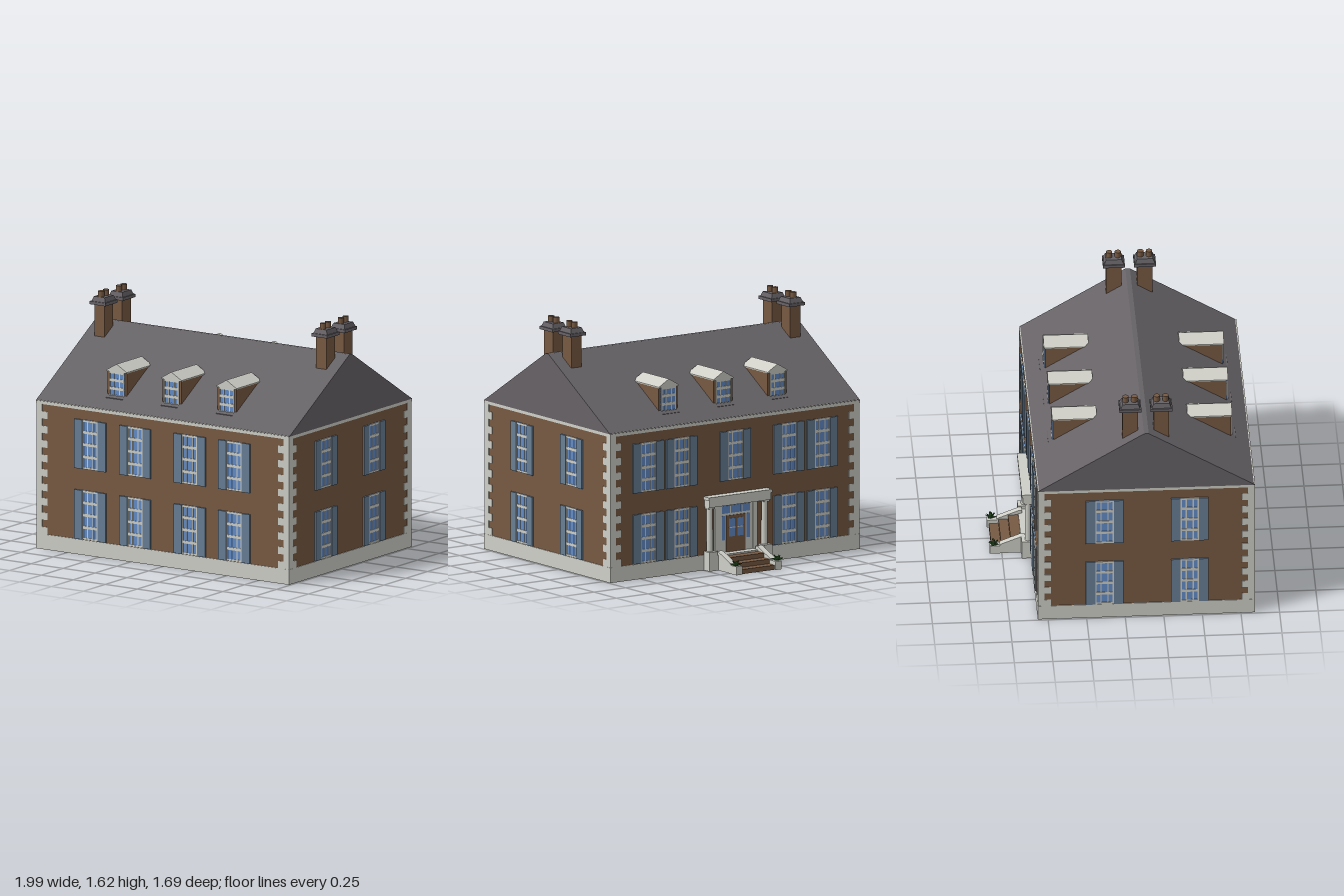
import * as THREE from 'three';

const material = (name, color) => Object.assign(new THREE.MeshStandardMaterial({ color }), { name });
const brick = material('brick', 0x775a43);
const stone = material('pale stone', 0xcfcfc8);
const slate = material('slate', 0x666266);
const shutterBlue = material('shutter blue', 0x687f95);
const glass = material('glass', 0x638cc6);
const leaf = material('leaf green', 0x2f5a28);

// House footprint
const HX = 0.985, HZ = 0.7, CZ = 0.1375;

function add(parent, name, geometry, mat, x = 0, y = 0, z = 0) {
  const mesh = new THREE.Mesh(geometry, mat);
  mesh.name = name;
  mesh.position.set(x, y, z);
  parent.add(mesh);
  return mesh;
}

// Box placed by its base height y0 and top height y1
function box(parent, name, mat, w, d, x, y0, y1, z) {
  return add(parent, name, new THREE.BoxGeometry(w, y1 - y0, d), mat, x, (y0 + y1) / 2, z);
}

function extrude(points, depth) {
  const shape = new THREE.Shape(points.map(p => new THREE.Vector2(...p)));
  return new THREE.ExtrudeGeometry(shape, { depth, bevelEnabled: false });
}

function group(parent, name, x, y, z, turn = 0) {
  const g = new THREE.Group();
  g.name = name;
  g.position.set(x, y, z);
  g.rotation.y = turn;
  parent.add(g);
  return g;
}

// Glazing with frame and bars, facing +z, standing on y = 0
function glazing(parent, w, h, rows) {
  box(parent, 'windowGlass', glass, w, 0.004, 0, 0, h, 0.002);
  for (const s of [-1, 1]) {
    box(parent, 'windowJamb', stone, 0.009, 0.008, s * (w / 2 - 0.0045), 0, h, 0.004);
    box(parent, 'windowBar', stone, 0.007, 0.007, s * w * 0.19, 0, h, 0.0035);
  }
  for (let i = 0; i <= rows; i++) {
    const t = i === 0 || i === rows ? 0.012 : 0.018;
    const y = Math.min(Math.max(h * i / rows, t / 2), h - t / 2);
    box(parent, 'windowRail', stone, w, 0.008, 0, y - t / 2, y + t / 2, 0.004);
  }
}

function shutteredWindow(parent, x, y, z, turn) {
  const g = group(parent, 'shutteredWindow', x, y, z, turn);
  glazing(g, 0.12, 0.325, 4);
  for (const s of [-1, 1]) box(g, 'shutter', shutterBlue, 0.062, 0.012, s * 0.091, 0, 0.325, 0.006);
}

// Dormer facing +z, with its front wall at z = 0
function dormer(parent, x, z, turn) {
  const g = group(parent, 'dormer', x, 0, z, turn);
  box(g, 'dormerWalls', brick, 0.15, 0.28, 0, 1.04, 1.214, -0.145);
  add(g, 'dormerRoof', extrude([[-0.08, 1.21], [0.08, 1.21], [0.08, 1.217], [0, 1.264], [-0.08, 1.217]], 0.29),
    stone, 0, 0, -0.286);
  glazing(group(g, 'dormerWindow', 0, 1.045, -0.005), 0.118, 0.165, 3);
  box(g, 'dormerSill', slate, 0.13, 0.034, 0, 1.03, 1.042, 0.012);
}

function chimney(parent, x, z) {
  const g = group(parent, 'chimney', x, 0, z);
  box(g, 'chimneyStack', brick, 0.08, 0.1, 0, 1.25, 1.53, 0);
  box(g, 'chimneyCap', slate, 0.122, 0.142, 0, 1.527, 1.548, 0);
  const taper = add(g, 'chimneyCapTop', new THREE.CylinderGeometry(0.8, 1, 0.03, 4, 1).rotateY(Math.PI / 4).toNonIndexed(), slate, 0, 1.563, 0);
  taper.geometry.computeVertexNormals();
  taper.scale.set(0.075, 1, 0.09);
  for (const s of [-1, 1])
    add(g, 'chimneyPot', new THREE.CylinderGeometry(0.02, 0.02, 0.045, 16), brick, 0, 1.593, s * 0.028);
}

function plant(parent, x, y, z) {
  const g = group(parent, 'pottedPlant', x, y, z);
  add(g, 'plantHeart', new THREE.IcosahedronGeometry(0.018, 0), leaf, 0, 0.012, 0);
  for (let i = 0; i < 14; i++) {
    const blade = add(g, 'plantLeaf', new THREE.ConeGeometry(0.011, 0.042, 4).translate(0, 0.021, 0), leaf, 0, 0.005, 0);
    blade.rotation.set(0, i * 2.4, -(i % 2 ? 1.3 : 0.75), 'YXZ');
  }
}

function porch(parent) {
  const g = group(parent, 'porch', 0, 0, 0);
  box(g, 'porchPlatform', stone, 0.5, 0.07, -0.004, 0, 0.1, -0.59);
  for (const s of [-1, 1]) {
    const x = -0.004 + s * 0.217;
    box(g, 'columnPedestal', stone, 0.066, 0.066, x, 0, 0.125, -0.592);
    add(g, 'column', new THREE.CylinderGeometry(0.019, 0.021, 0.3, 20), stone, x, 0.27, -0.582);
    box(g, 'columnCapital', stone, 0.05, 0.05, x, 0.405, 0.42, -0.582);
    box(g, 'pilaster', stone, 0.035, 0.016, -0.004 + s * 0.15, 0.1, 0.42, -0.566);
  }
  box(g, 'entablature', stone, 0.49, 0.06, -0.004, 0.418, 0.465, -0.588);
  box(g, 'entablatureCornice', stone, 0.505, 0.068, -0.004, 0.465, 0.486, -0.591);

  // Door with glazed panels, side lights and transom, facing -z
  const d = group(g, 'door', -0.004, 0.1, -0.5625, Math.PI);
  box(d, 'doorSurround', stone, 0.27, 0.006, 0, 0, 0.32, 0.002);
  box(d, 'doorLeaf', brick, 0.15, 0.01, 0, 0, 0.24, 0.005);
  box(d, 'transomGlass', glass, 0.22, 0.008, 0, 0.255, 0.305, 0.004);
  for (const s of [-1, 1]) {
    box(d, 'doorGlass', glass, 0.048, 0.012, s * 0.033, 0.1, 0.22, 0.006);
    box(d, 'doorGlassBar', stone, 0.048, 0.013, s * 0.033, 0.157, 0.163, 0.007);
    box(d, 'sideLight', glass, 0.025, 0.008, s * 0.098, 0.08, 0.24, 0.004);
    box(d, 'transomBar', stone, 0.008, 0.01, s * 0.045, 0.255, 0.305, 0.005);
  }

  // Steps between sloping side walls with plants on the end blocks
  for (let i = 0; i < 3; i++) {
    const far = -0.815 + i * 0.062;
    box(g, 'step', brick, 0.28, far + 0.62 < 0 ? -0.62 - far : 0.06, -0.004, 0, 0.03 * (i + 1), (far - 0.62) / 2);
  }
  for (const x of [-0.16, 0.152]) {
    const wall = add(g, 'stepSideWall', extrude(
      [[0.6, 0], [0.828, 0], [0.828, 0.055], [0.763, 0.055], [0.763, 0.065], [0.62, 0.122], [0.6, 0.122]], 0.042),
    stone, x - 0.021, 0, 0);
    wall.rotation.y = Math.PI / 2;
    box(g, 'plantBlock', stone, 0.048, 0.066, x, 0, 0.056, -0.795);
    plant(g, x + Math.sign(x) * 0.008, 0.056, -0.8);
  }
}

export function createModel() {
  const house = new THREE.Group();
  house.name = 'house';

  // Walls standing on a hollow stone plinth
  box(house, 'brickWalls', brick, HX * 2, HZ * 2, 0, 0.09, 0.97, CZ);
  const rectangle = (Type, x, z) =>
    new Type([[-x, -z], [x, -z], [x, z], [-x, z]].map(p => new THREE.Vector2(...p)));
  const ring = rectangle(THREE.Shape, HX + 0.005, HZ + 0.004);
  ring.holes.push(rectangle(THREE.Path, HX - 0.055, HZ - 0.055));
  add(house, 'plinth', new THREE.ExtrudeGeometry(ring, { depth: 0.1, bevelEnabled: false }).rotateX(-Math.PI / 2),
    stone, 0, 0, CZ);
  box(house, 'cornice', stone, HX * 2 + 0.01, HZ * 2 + 0.008, 0, 0.96, 0.985, CZ);

  // Alternating long and short corner stones
  const course = 0.86 / 18;
  for (const sx of [-1, 1]) for (const sz of [-1, 1]) for (let i = 0; i < 18; i++) {
    const w = i % 2 ? 0.044 : 0.085;
    box(house, 'cornerStone', stone, w, w, sx * (HX + 0.004 - w / 2), 0.1 + i * course, 0.1 + (i + 1) * course,
      CZ + sz * (HZ + 0.003 - w / 2));
  }

  // Gable roof with a narrow flat ridge
  const roof = add(house, 'roof', extrude([[-0.705, 0.98], [0.705, 0.98], [0.015, 1.4], [-0.015, 1.4]], 1.984), slate, -0.992, 0, CZ);
  roof.rotation.y = Math.PI / 2;

  // Windows on all four sides; the door takes the middle of the back
  for (const y of [0.103, 0.57]) {
    for (const x of [-0.565, -0.214, 0.214, 0.562]) shutteredWindow(house, x, y, CZ + HZ, 0);
    for (const x of [-0.69, -0.425, 0, 0.425, 0.69])
      if (x !== 0 || y > 0.5) shutteredWindow(house, x, y, CZ - HZ, Math.PI);
    for (const z of [0.418, -0.134])
      for (const s of [-1, 1]) shutteredWindow(house, s * HX, y, z, s * Math.PI / 2);
  }

  for (const x of [-0.443, -0.014, 0.417]) dormer(house, x, 0.718, 0);
  for (const x of [-0.425, 0.004, 0.438]) dormer(house, x, -0.44, Math.PI);

  for (const x of [-0.872, 0.866]) for (const z of [0.038, 0.24]) chimney(house, x, z);

  porch(house);
  return house;
}
